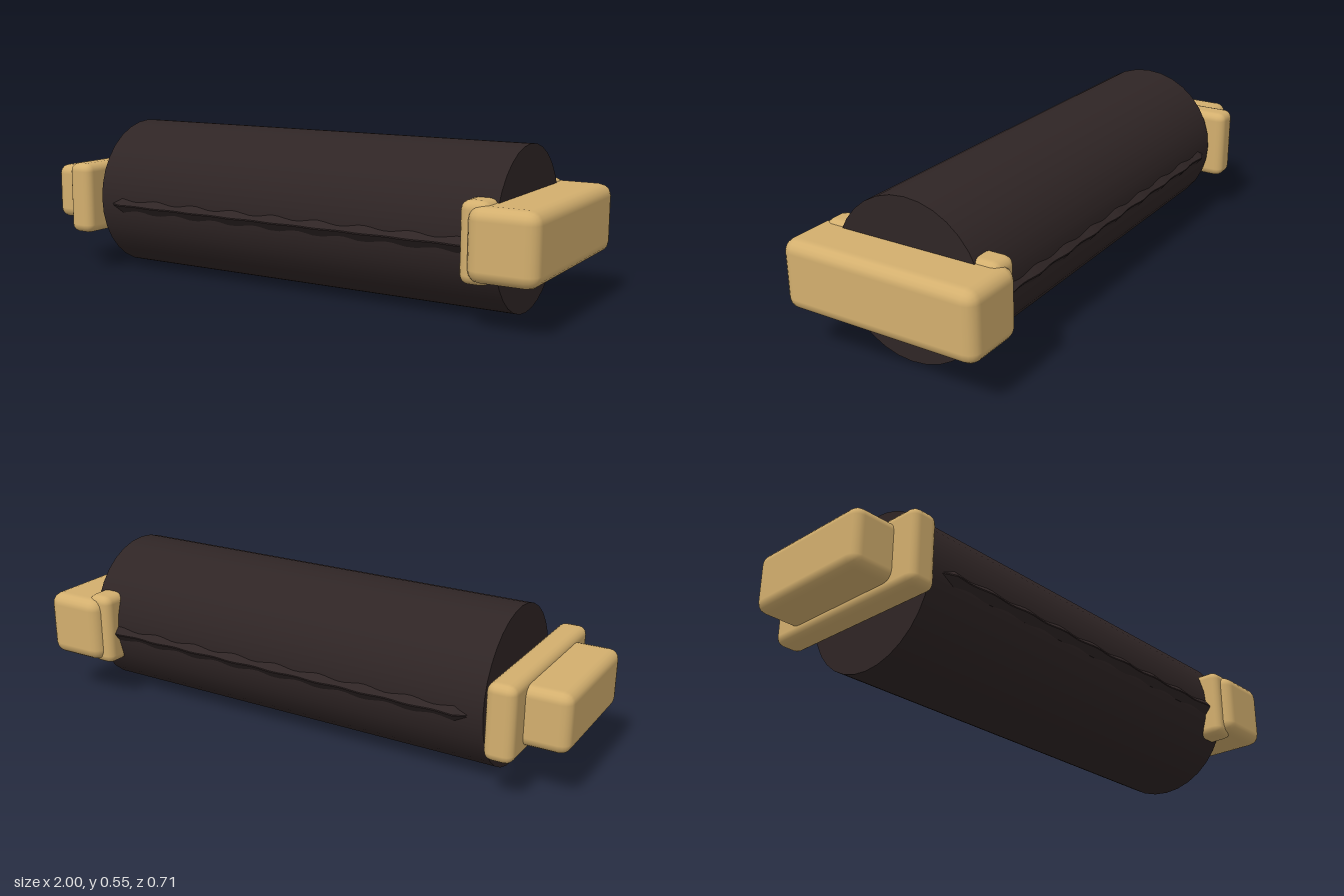
import * as THREE from 'three';
import { RoundedBoxGeometry } from 'three/addons/geometries/RoundedBoxGeometry.js';

export function createModel() {
  const model = new THREE.Group();
  const tan = new THREE.MeshStandardMaterial({ color: 0xd3af6e });
  tan.name = 'tan';
  const dark = new THREE.MeshStandardMaterial({ color: 0x2f2525 });
  dark.name = 'dark brown';

  const add = (name, geometry, material, x, y, z = 0) => {
    const mesh = new THREE.Mesh(geometry, material);
    mesh.name = name;
    mesh.position.set(x, y, z);
    model.add(mesh);
    return mesh;
  };
  // Rounded block given by its limits in x and y and its half depth in z
  const block = (name, x0, x1, y0, y1, halfZ, radius) =>
    add(name, new RoundedBoxGeometry(x1 - x0, y1 - y0, halfZ * 2, 2, radius),
      tan, (x0 + x1) / 2, (y0 + y1) / 2);

  // Main roller lying along x
  const roller = new THREE.CylinderGeometry(0.276, 0.276, 1.57, 32);
  roller.rotateZ(Math.PI / 2);
  add('roller', roller, dark, 0.05, 0.277);

  // Flat core with bevelled, gently scalloped long edges
  const edge = [[-0.76, 0.24], [-0.735, 0.252]];
  for (let i = 0; i <= 56; i++) {
    const x = -0.64 + i * 0.025;
    edge.push([x, 0.291 + 0.004 * Math.cos((x + 0.48) * Math.PI * 2 / 0.172)]);
  }
  const outline = [...edge, ...edge.map(([x, z]) => [x, -z]).reverse()];
  const core = new THREE.ExtrudeGeometry(
    new THREE.Shape(outline.map(([x, z]) => new THREE.Vector2(x, z))),
    { depth: 0.004, bevelEnabled: true, bevelSegments: 1, bevelSize: 0.022,
      bevelThickness: 0.026, bevelOffset: -0.022 });
  core.translate(0, 0, -0.002);
  core.rotateX(Math.PI / 2);
  add('scallopedCore', core, dark, 0, 0.262);

  // Left end: collar and narrow cap
  block('rightSideCollar', -0.855, -0.755, 0.148, 0.409, 0.326, 0.03);
  block('rightSideCap', -1, -0.82, 0.18, 0.384, 0.238, 0.035);

  // Right end: collar and wide cap
  block('leftSideCollar', 0.735, 0.835, 0.148, 0.409, 0.326, 0.03);
  block('leftSideCap', 0.768, 1, 0.16, 0.396, 0.356, 0.042);

  return model;
}
